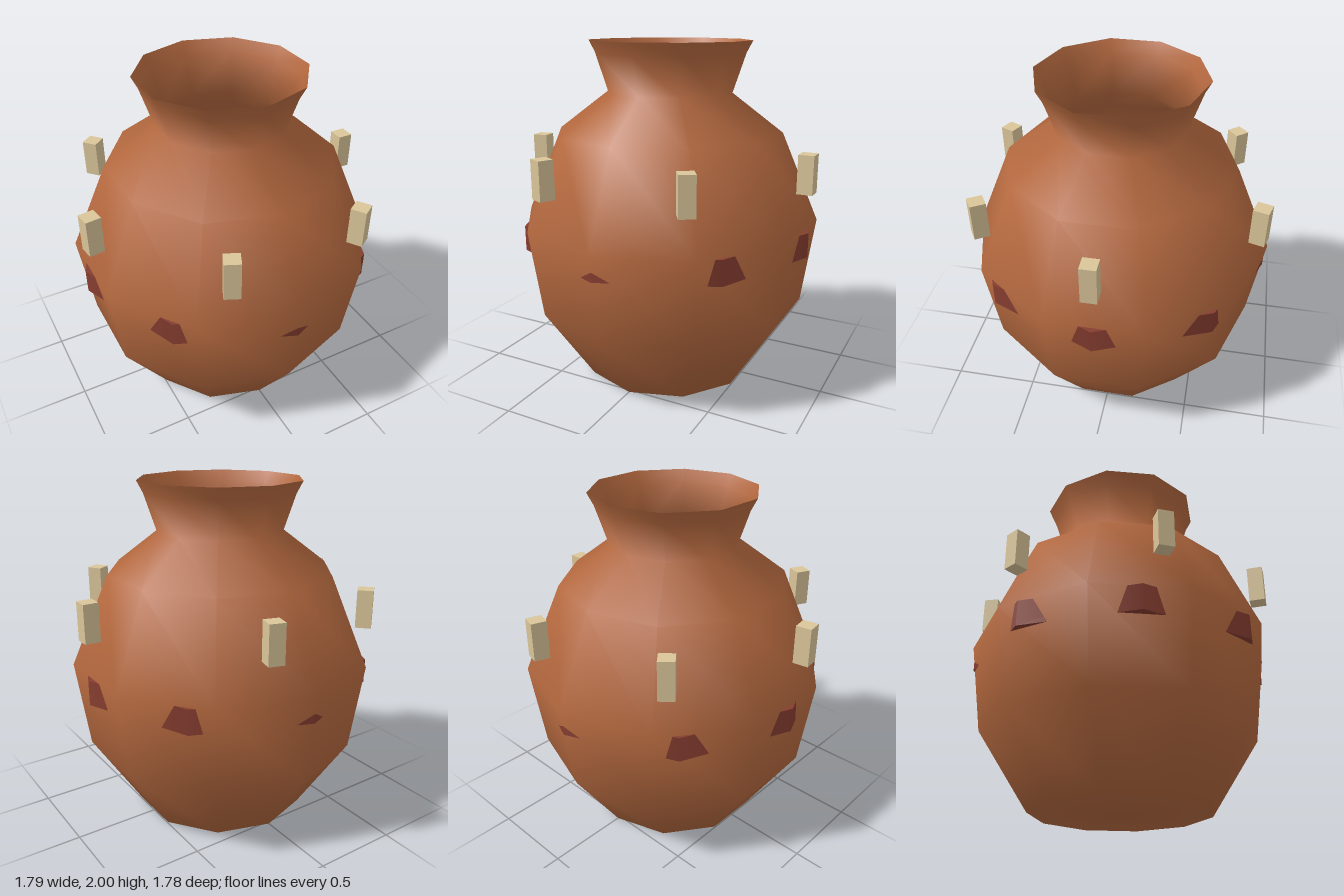
import * as THREE from 'three';

export function createModel() {
  const clay = new THREE.MeshStandardMaterial({ color: 0xb5693f, side: THREE.DoubleSide });
  clay.name = 'clay';
  const darkRed = new THREE.MeshStandardMaterial({ color: 0x863d30 });
  darkRed.name = 'dark red';
  const sand = new THREE.MeshStandardMaterial({ color: 0xdac599 });
  sand.name = 'sand';

  const model = new THREE.Group();
  model.name = 'urn';
  const add = (name, geometry, material, parent = model) => {
    const mesh = new THREE.Mesh(geometry, material);
    mesh.name = name;
    parent.add(mesh);
    return mesh;
  };

  // Thin-walled vessel: closed base, round belly, pinched neck and flared mouth
  const profile = [
    [0, 0], [0.52, 0], [0.815, 0.45], [0.889, 0.965],
    [0.668, 1.48], [0.37, 1.705], [0.444, 1.93], [0.48, 2],
  ].map(([r, y]) => new THREE.Vector2(r, y));
  add('vessel', new THREE.LatheGeometry(profile, 10), clay);

  // Eight-sided band whose corners break through the belly
  const band = add('band', new THREE.CylinderGeometry(0.876, 0.876, 0.145, 8), darkRed);
  band.position.y = 0.891;

  // Upright studs, spaced one radian apart round the shoulder
  const studs = new THREE.Group();
  studs.name = 'studs';
  model.add(studs);
  const studGeometry = new THREE.BoxGeometry(0.089, 0.22, 0.089);
  for (let i = 0; i < 6; i++) {
    const stud = add('stud', studGeometry, sand, studs);
    stud.position.set(0.85 * Math.cos(i), 1.3, 0.85 * Math.sin(i));
    stud.rotation.y = -i;
  }

  return model;
}
